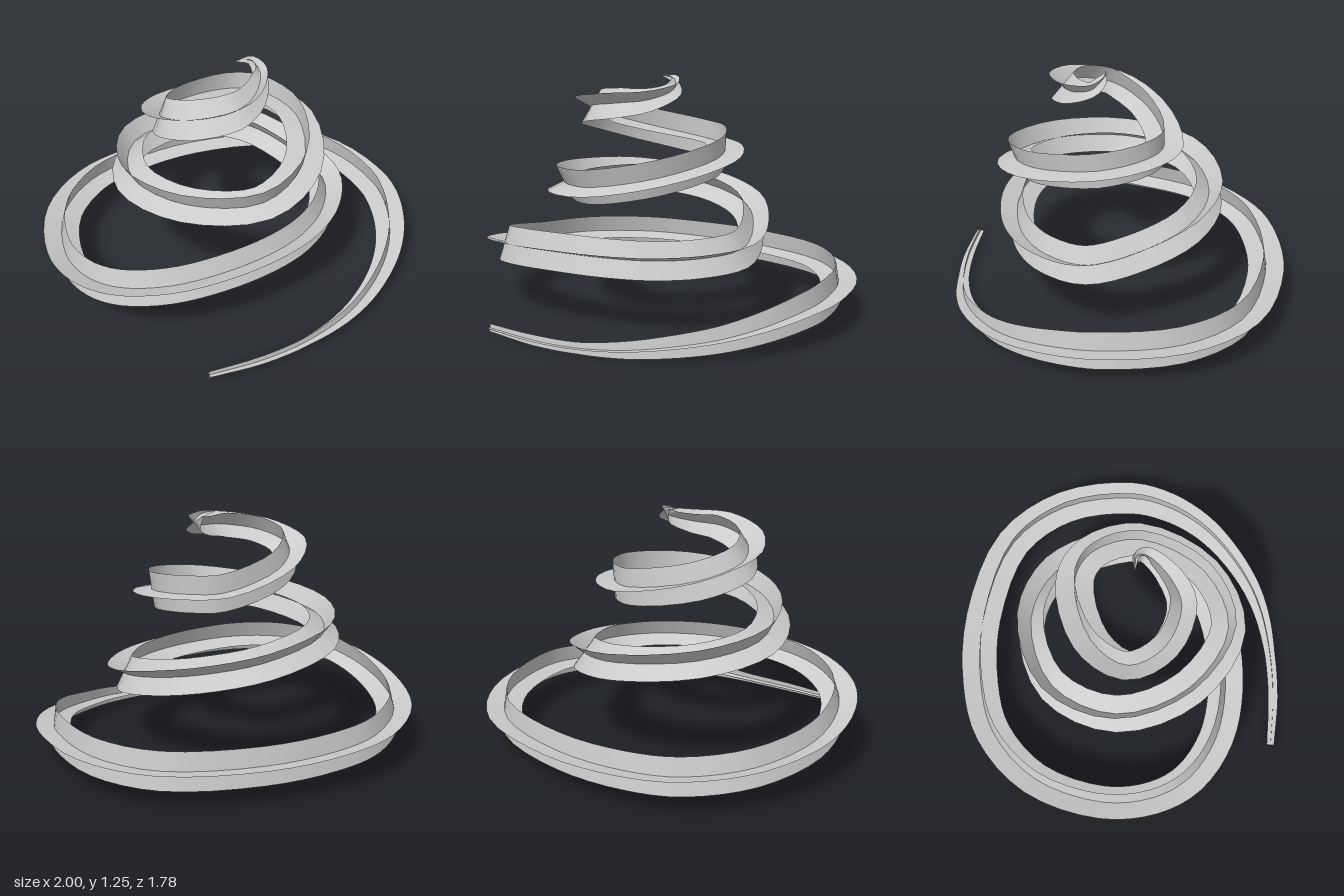
import * as THREE from 'three';

// Centre line of the rising spiral, from the low outer end to the top hook
const PATH = [
  [-0.48, 0.042, 0.85], [-0.2, 0.033, 0.858], [0.05, 0.034, 0.833], [0.28, 0.052, 0.778], // 0-3
  [0.46, 0.075, 0.695], [0.65, 0.104, 0.55], [0.78, 0.137, 0.395], [0.87, 0.167, 0.2],    // 4-7
  [0.905, 0.183, -0.02], [0.82, 0.185, -0.4], [0.57, 0.186, -0.68], [0.1, 0.186, -0.8],   // 8-11
  [-0.29, 0.19, -0.77], [-0.56, 0.2, -0.67], [-0.8, 0.22, -0.42], [-0.905, 0.248, -0.05], // 12-15
  [-0.87, 0.295, 0.22], [-0.76, 0.337, 0.4], [-0.55, 0.373, 0.525], [-0.29, 0.392, 0.563], // 16-19
  [0, 0.395, 0.53], [0.22, 0.395, 0.45], [0.4, 0.4, 0.31], [0.51, 0.413, 0.1],            // 20-23
  [0.45, 0.458, -0.14], [0.27, 0.527, -0.39], [-0.03, 0.583, -0.488], [-0.4, 0.635, -0.34], // 24-27
  [-0.533, 0.663, 0], [-0.38, 0.702, 0.36], [-0.06, 0.743, 0.54], [0.22, 0.795, 0.4],     // 28-31
  [0.35, 0.85, 0.06], [0.25, 0.88, -0.18], [0.09, 0.89, -0.255], [-0.25, 0.957, -0.145],  // 32-35
  [-0.39, 1.033, 0.05], [-0.3, 1.088, 0.22], [-0.1, 1.122, 0.285], [0.04, 1.14, 0.215],   // 36-39
  [0.12, 1.185, 0.105], [0.095, 1.232, 0.055], [0.015, 1.245, 0.05],                      // 40-42
];

// [path point index, value] keys: roll in degrees and half width of the blades
const ROLL = [[0, 4], [8, 9], [11, 9], [15, 16], [19, 20], [23, 26], [26, 45],
  [28, 60], [30, 70], [32, 85], [34, 90], [36, 115], [38, 130], [42, 150]];
const HALF = [[0, 0.02], [1, 0.027], [2, 0.029], [3, 0.042], [5, 0.064], [7, 0.088], [8, 0.096],
  [37, 0.097], [38, 0.092], [39, 0.073], [40, 0.047], [41, 0.024], [42, 0.002]];

function sample(keys, s) {
  let i = 0;
  while (i < keys.length - 2 && s > keys[i + 1][0]) i++;
  const [[a, u], [b, v]] = [keys[i], keys[i + 1]];
  return u + (v - u) * (s - a) / (b - a);
}

// A strip swept along the path, turned by extraRoll about it
function bladeGeometry(curve, extraRoll) {
  const spans = PATH.length - 1, steps = spans * 4;
  const positions = [], index = [];
  const up = new THREE.Vector3(0, 1, 0);
  for (let i = 0; i <= steps; i++) {
    const t = i / steps, s = t * spans;
    const centre = curve.getPoint(t), tangent = curve.getTangent(t);
    const outward = tangent.clone().cross(up).normalize();
    const upward = outward.clone().cross(tangent);
    const angle = THREE.MathUtils.degToRad(sample(ROLL, s)) + extraRoll;
    const across = outward.multiplyScalar(Math.cos(angle)).addScaledVector(upward, Math.sin(angle));
    for (const side of [-1, 0, 1]) {
      const p = centre.clone().addScaledVector(across, side * sample(HALF, s));
      positions.push(p.x, p.y, p.z);
    }
    if (i === steps) continue;
    for (let j = 0; j < 2; j++) {
      const a = i * 3 + j, b = a + 3;
      index.push(a, a + 1, b, a + 1, b + 1, b);
    }
  }
  const geometry = new THREE.BufferGeometry();
  geometry.setAttribute('position', new THREE.Float32BufferAttribute(positions, 3));
  geometry.setIndex(index);
  geometry.computeVertexNormals();
  return geometry;
}

export function createModel() {
  const model = new THREE.Group();
  model.name = 'spiralRibbon';
  const material = new THREE.MeshStandardMaterial({ color: 0xcccccc, side: THREE.DoubleSide });
  const curve = new THREE.CatmullRomCurve3(PATH.map(p => new THREE.Vector3(...p)), false, 'centripetal');

  // Two crossed blades form the plus-shaped section
  for (const [name, extraRoll] of [['flatBlade', 0], ['uprightBlade', Math.PI / 2]]) {
    const blade = new THREE.Mesh(bladeGeometry(curve, extraRoll), material);
    blade.name = name;
    model.add(blade);
  }
  return model;
}
